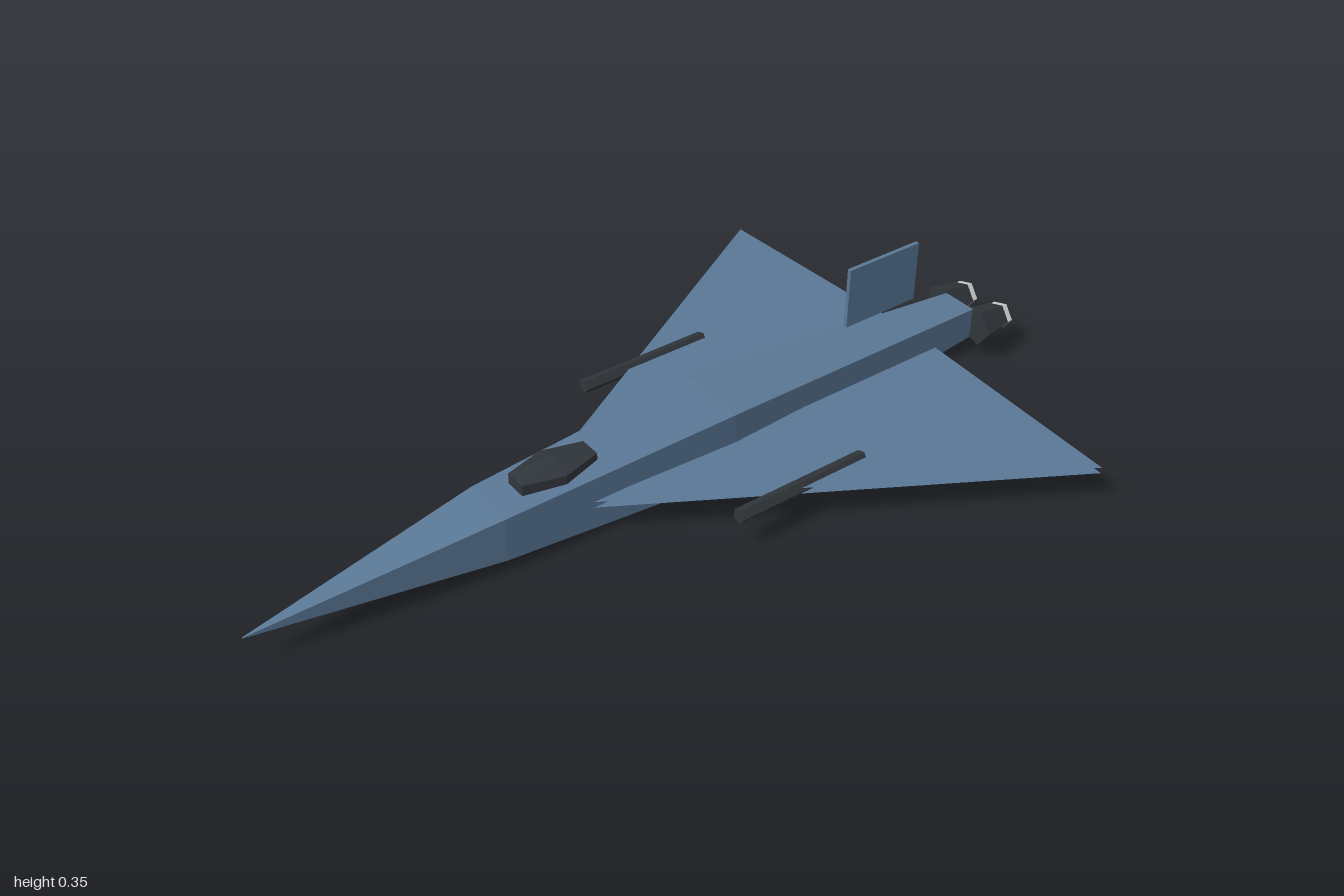
import * as THREE from 'three';

const paint = (name, color, extra = {}) =>
  Object.assign(new THREE.MeshStandardMaterial({ color, flatShading: true, ...extra }), { name });

export function createModel() {
  const model = new THREE.Group();
  model.name = 'deltaJet';
  const blue = paint('blueGrey', 0x5a7896, { side: THREE.DoubleSide });
  const dark = paint('charcoal', 0x30363b);
  const light = paint('lightGrey', 0xcccccc);

  const add = (name, geometry, material, x = 0, y = 0, z = 0) => {
    const mesh = new THREE.Mesh(geometry, material);
    mesh.name = name;
    mesh.position.set(x, y, z);
    model.add(mesh);
    return mesh;
  };

  // Five-sided rod along z, one corner pointing to +x
  const rod = (frontRadius, backRadius, length) =>
    new THREE.CylinderGeometry(frontRadius, backRadius, length, 5, 1, false, Math.PI / 2).rotateX(Math.PI / 2);

  // Fuselage: four-sided body through stations [z, half width, half height, centre y]
  const stations = [
    [-0.91, 0.046, 0.04, 0.088],
    [-0.14, 0.092, 0.085, 0.086],
    [0.44, 0.067, 0.055, 0.087],
    [1.0, 0.001, 0.001, 0.076],
  ];
  const body = new THREE.BoxGeometry(2, 2, 3, 1, 1, 3);
  const p = body.attributes.position;
  for (let i = 0; i < p.count; i++) {
    const [z, w, h, cy] = stations[Math.round(p.getZ(i) + 1.5)];
    p.setXYZ(i, p.getX(i) * w, cy + p.getY(i) * h, z);
  }
  body.computeVertexNormals();
  add('fuselage', body, blue);

  // Canopy: faceted dome sunk into the nose
  add('canopy', new THREE.SphereGeometry(1, 6, 3).scale(0.061, 0.038, 0.126), dark, 0, 0.153, 0.278);

  // Tail fin
  add('tailFin', new THREE.BoxGeometry(0.01, 0.153, 0.21), blue, 0, 0.277, -0.637);

  for (const side of [1, -1]) {
    const label = side > 0 ? 'left' : 'right';

    // Delta wing: upper and lower skin with open edges
    const outline = new THREE.Shape([
      new THREE.Vector2(side * 0.08, -0.23),
      new THREE.Vector2(side * 0.632, 0.726),
      new THREE.Vector2(side * 0.08, 0.756),
    ]);
    add(label + 'WingUpperSkin', new THREE.ShapeGeometry(outline).rotateX(-Math.PI / 2), blue, 0, 0.096, 0);
    add(label + 'WingLowerSkin', new THREE.ShapeGeometry(outline).rotateX(-Math.PI / 2), blue, 0, 0.081, 0);

    // Stores under and beside the wing
    add(label + 'GunPod', rod(0.0175, 0.0175, 0.345), dark, side * 0.29, 0.089, -0.165);
    add(label + 'Missile', rod(0.0175, 0.0175, 0.24), light, side * 0.212, 0.056, -0.331);

    // Engine nozzle and its glowing end disc
    add(label + 'Nozzle', rod(0.05, 0.037, 0.077), dark, side * 0.06, 0.088, -0.9465);
    add(label + 'Exhaust', rod(0.035, 0.035, 0.02), light, side * 0.06, 0.088, -0.99);
  }
  return model;
}
